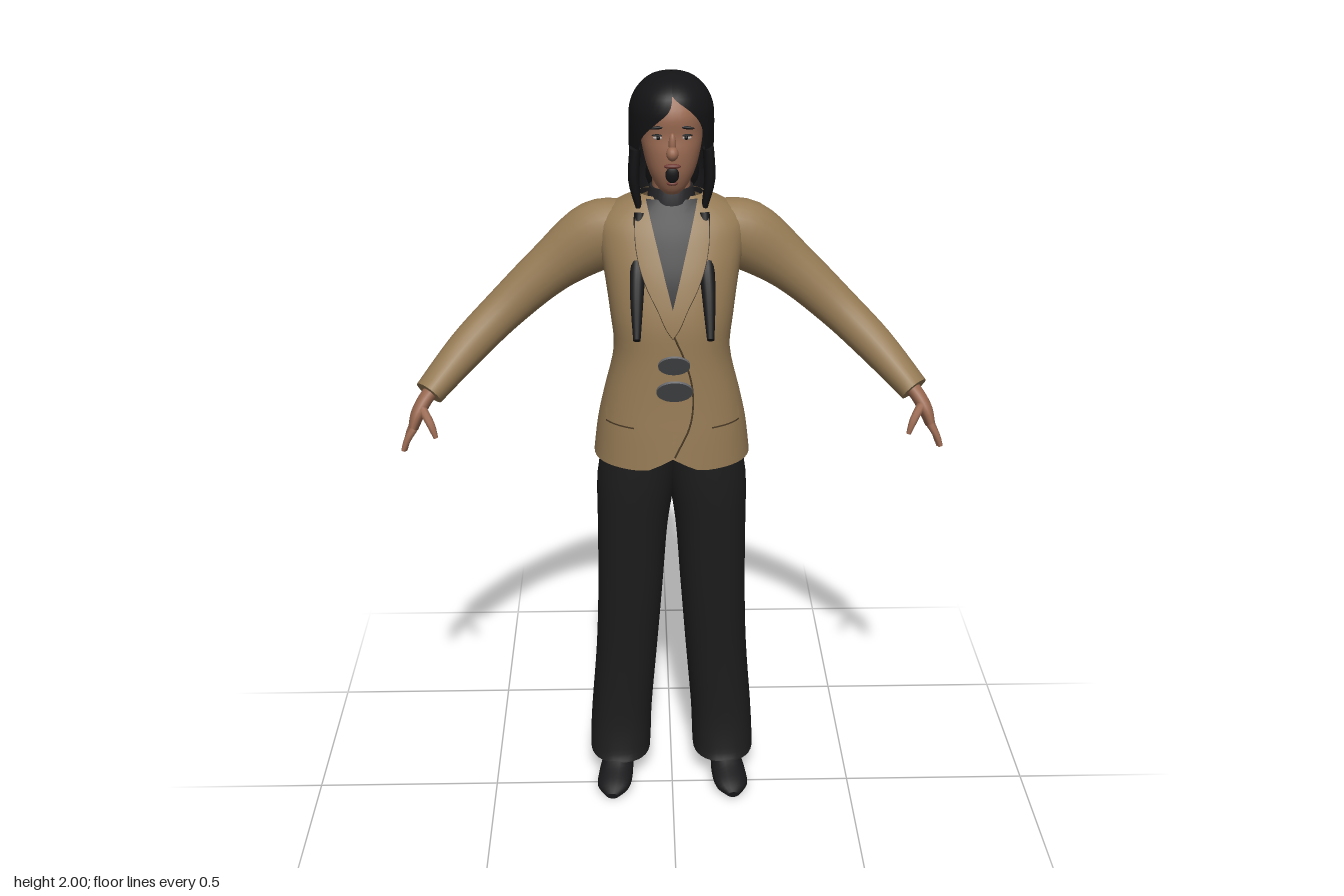
import * as THREE from 'three';

const mat = (name, color, side = THREE.DoubleSide) => {
  const m = new THREE.MeshStandardMaterial({ color, side });
  m.name = name;
  return m;
};

// Catmull-Rom sampling of rows of numbers at parameter t in 0..1
function sample(keys, t) {
  const f = t * (keys.length - 1), i = Math.min(Math.floor(f), keys.length - 2), k = f - i;
  const at = (j) => keys[Math.max(0, Math.min(keys.length - 1, j))];
  return keys[i].map((_, c) => {
    const [a, b, d, e] = [at(i - 1)[c], at(i)[c], at(i + 1)[c], at(i + 2)[c]];
    return b + 0.5 * k * (d - a + k * (2 * a - 5 * b + 4 * d - e + k * (3 * (b - d) + e - a)));
  });
}
const smooth = (keys, per = 4) => {
  const n = (keys.length - 1) * per;
  return Array.from({ length: n + 1 }, (_, i) => sample(keys, i / n));
};

// Skin over rings of points; closed rings may be capped
function loft(rings, closed = true, caps = true) {
  const n = rings[0].length, pos = rings.flat().flatMap((p) => [p.x, p.y, p.z]), idx = [];
  for (let j = 0; j < rings.length - 1; j++)
    for (let i = 0; i < (closed ? n : n - 1); i++) {
      const a = j * n + i, b = j * n + ((i + 1) % n);
      idx.push(a, b, b + n, a, b + n, a + n);
    }
  if (closed && caps)
    for (const j of [0, rings.length - 1]) {
      const c = rings[j].reduce((s, p) => s.add(p), new THREE.Vector3()).divideScalar(n);
      const base = pos.length / 3;
      pos.push(c.x, c.y, c.z);
      for (const p of rings[j]) pos.push(p.x, p.y, p.z);
      for (let i = 0; i < n; i++) {
        const a = base + 1 + i, b = base + 1 + ((i + 1) % n);
        idx.push(base, j ? a : b, j ? b : a);
      }
    }
  const g = new THREE.BufferGeometry();
  g.setAttribute('position', new THREE.Float32BufferAttribute(pos, 3));
  g.setIndex(idx);
  g.computeVertexNormals();
  return g;
}

// Horizontal rings from rows of [y, half width, front z, back z, centre x]
const EXP = 2.3;
const power = (v) => Math.sign(v) * Math.abs(v) ** (2 / EXP);
const bodyRings = (rows, n = 32) => rows.map(([y, rx, zf, zb, cx = 0]) =>
  Array.from({ length: n }, (_, i) => {
    const a = (i / n) * Math.PI * 2;
    return new THREE.Vector3(cx + rx * power(Math.sin(a)), y, (zf + zb) / 2 + (zf - zb) / 2 * power(Math.cos(a)));
  }));

// Height of the front surface of such a body
const frontOf = (rows) => (x, y) => {
  let i = rows.findIndex((r) => r[0] > y);
  i = i < 1 ? (i === 0 ? 1 : rows.length - 1) : i;
  const k = Math.max(0, Math.min(1, (y - rows[i - 1][0]) / (rows[i][0] - rows[i - 1][0])));
  const [rx, zf, zb] = [1, 2, 3].map((c) => rows[i - 1][c] + k * (rows[i][c] - rows[i - 1][c]));
  const q = Math.max(0, 1 - Math.abs(x / rx) ** EXP) ** (1 / EXP);
  return (zf + zb) / 2 + (zf - zb) / 2 * q;
};

// Thin patch lying on a front surface; edge(t) gives [y, x from, x to]
const panel = (front, edge, off) => loft(Array.from({ length: 17 }, (_, j) => {
  const [y, x0, x1] = edge(j / 16);
  return Array.from({ length: 9 }, (_, i) => {
    const x = x0 + (x1 - x0) * i / 8;
    return new THREE.Vector3(x, y, front(x, y) + off);
  });
}), false);

// Tapering limb from rows of [x, y, z, radius u, radius w]
function limb(keys, s = 1, ref = new THREE.Vector3(0, 0, 1), per = 4, n = 14) {
  const rows = smooth(keys.map(([x, ...r]) => [x * s, ...r]), per);
  const P = rows.map((r) => new THREE.Vector3(r[0], r[1], r[2]));
  return loft(rows.map((r, i) => {
    const t = P[Math.min(i + 1, P.length - 1)].clone().sub(P[Math.max(i - 1, 0)]).normalize();
    const u = t.clone().cross(ref).normalize(), w = t.clone().cross(u);
    return Array.from({ length: n }, (_, k) => {
      const a = (k / n) * Math.PI * 2;
      return P[i].clone().addScaledVector(u, r[3] * Math.cos(a)).addScaledVector(w, r[4] * Math.sin(a));
    });
  }));
}

export function createModel() {
  const root = new THREE.Group();
  const skin = mat('skin', 0x9a6a52), cloth = mat('tan jacket', 0x967b55), seam = mat('seam brown', 0x4a3a26);
  const trouser = mat('charcoal trousers', 0x1d1d1e), hairMat = mat('black hair', 0x141416);
  const shirtMat = mat('dark shirt', 0x232326), shoeMat = mat('shoe black', 0x18181a);
  const metal = mat('grey discs', 0x66676b), white = mat('eye white', 0xb9aea6), lip = mat('lip', 0x6f3a33);
  const add = (name, geo, m) => {
    const mesh = new THREE.Mesh(geo, m);
    mesh.name = name;
    root.add(mesh);
    return mesh;
  };
  const blob = (name, m, x, y, z, rx, ry, rz) => {
    const mesh = add(name, new THREE.SphereGeometry(1, 18, 12), m);
    mesh.position.set(x, y, z);
    mesh.scale.set(rx, ry, rz);
    return mesh;
  };

  // Jacket body, with the hem cut away at the front
  const torso = smooth([
    [1.01, .205, .087, -.245], [1.1, .194, .083, -.232], [1.18, .177, .078, -.21], [1.3, .15, .073, -.193],
    [1.4, .158, .068, -.2], [1.5, .172, .042, -.218], [1.58, .185, .008, -.225], [1.63, .182, -.018, -.22],
    [1.67, .14, -.045, -.205], [1.695, .08, -.06, -.185]]);
  const rings = bodyRings(torso, 48);
  rings.slice(0, 4).forEach((ring, j) => ring.forEach((p) => {
    if (p.z > 0) p.y += 0.035 * (1 - j / 4) * Math.exp(-((p.x / 0.04) ** 2));
  }));
  add('jacketBody', loft(rings, true, false), cloth);
  const chest = frontOf(torso);

  // Shirt in the neckline, and collar
  const vee = (y) => 0.062 * Math.max(0, (y - 1.44) / 0.24);
  add('shirtFront', panel(chest, (t) => { const y = 1.44 + .25 * t; return [y, -vee(y), vee(y)]; }, .004), shirtMat);
  add('shirtCollar', loft(bodyRings([[1.62, .07, -.04, -.17], [1.68, .062, -.045, -.17], [1.715, .055, -.055, -.165]])), shirtMat);
  add('neck', loft(bodyRings([[1.68, .048, -.06, -.16], [1.78, .048, -.05, -.16]])), skin);

  // Front closing edge
  const edge = new THREE.CatmullRomCurve3([[0, 1.38], [.03, 1.31], [.05, 1.23], [.045, 1.14], [.005, 1.05]]
    .map(([x, y]) => new THREE.Vector3(x, y, chest(x, y) + .001)));
  add('frontEdge', new THREE.TubeGeometry(edge, 24, .0025, 6), seam);

  for (const s of [1, -1]) {
    const side = s > 0 ? 'left' : 'right';
    // Lapel with a seam along its outer edge, and pocket flap
    const lapel = (t) => {
      const y = 1.37 + .31 * t;
      return [y, s * vee(y), s * (vee(y) + .055 * Math.sin(Math.PI * Math.min(.88, t * .88)) ** .8)];
    };
    add(side + 'Lapel', panel(chest, lapel, .008), cloth);
    const rim = Array.from({ length: 15 }, (_, i) => {
      const [y, , x] = lapel(i / 15);
      return new THREE.Vector3(x, y, chest(x, y) + .006);
    });
    add(side + 'LapelSeam', new THREE.TubeGeometry(new THREE.CatmullRomCurve3(rim), 28, .0018, 5), seam);
    add(side + 'PocketFlap', panel(chest, (t) => [1.13 + .03 * t, s * .1, s * .172], .009), cloth);
    add(side + 'PocketSeam', panel(chest, (t) => [1.126 + .004 * t, s * .1, s * .172], .01), seam);

    // Sleeve
    add(side + 'Sleeve', limb([[.1, 1.6, -.125, .07, .07], [.19, 1.575, -.14, .09, .075], [.31, 1.49, -.142, .068, .06],
      [.43, 1.385, -.125, .056, .053], [.53, 1.295, -.075, .05, .052], [.625, 1.2, -.002, .038, .056]], s, undefined, 5, 20), cloth);

    // Hand: palm, four fingers, thumb
    add(side + 'Palm', limb([[.61, 1.215, -.01, .02, .028], [.635, 1.185, .005, .019, .03], [.655, 1.15, .018, .018, .042],
      [.667, 1.115, .028, .013, .04]], s), skin);
    for (let f = 0; f < 4; f++) {
      const z = -.002 + f * .02, drop = [.045, .06, .06, .05][f];
      add(side + 'Finger', limb([[.662, 1.125, z, .01, .01], [.678, 1.1, z + (f - 1) * .004, .009, .009],
        [.69, 1.12 - drop, z + (f - 1.4) * .008, .006, .006]], s, undefined, 3, 8), skin);
    }
    add(side + 'Thumb', limb([[.64, 1.17, .035, .012, .014], [.618, 1.14, .062, .011, .011], [.605, 1.105, .072, .006, .006]],
      s, undefined, 3, 8), skin);

    // Trouser leg from rows of [y, inner x, outer x, front z, back z]
    const leg = [[.065, .062, .232, .002, -.217], [.1, .06, .232, -.01, -.217], [.2, .056, .226, -.02, -.21],
      [.4, .04, .21, -.008, -.195], [.6, .025, .202, .012, -.178], [.8, .01, .2, .03, -.184], [.94, -.012, .198, .042, -.205],
      [1.06, -.02, .175, .045, -.2]].map(([y, a, b, zf, zb]) => [y, (b - a) / 2, zf, zb, s * (a + b) / 2]);
    add(side + 'TrouserLeg', loft(bodyRings(smooth(leg))), trouser);

    // Shoe and heel
    add(side + 'Shoe', limb([[.145, .075, -.185, .024, .022], [.147, .075, -.13, .036, .032], [.153, .055, -.06, .042, .042],
      [.16, .033, 0, .048, .032], [.167, .021, .055, .044, .021], [.17, .013, .09, .016, .01]],
    s, new THREE.Vector3(0, 1, 0)), shoeMat);
    const heel = add(side + 'Heel', new THREE.CylinderGeometry(.022, .01, .07, 12), shoeMat);
    heel.position.set(s * .146, .035, -.168);

    // Long strand standing off the chest
    add(side + 'Strand', limb([[.08, 1.66, -.045, .014, .012], [.085, 1.55, -.005, .019, .014], [.089, 1.48, .062, .017, .011],
      [.09, 1.4, .168, .009, .006]], s), hairMat);
    // Lock beside the neck
    add(side + 'Lock', limb([[.09, 1.82, -.06, .014, .03], [.094, 1.74, -.06, .014, .028], [.082, 1.67, -.06, .008, .012]], s), hairMat);
  }

  // Face
  const head = smooth([[1.712, .02, -.025, -.08], [1.73, .04, -.012, -.12], [1.77, .06, .002, -.16], [1.82, .073, .006, -.18],
    [1.86, .078, .002, -.19], [1.91, .078, .004, -.19], [1.96, .06, -.02, -.17]]);
  add('head', loft(bodyRings(head)), skin);
  const face = frontOf(head);
  blob('nose', skin, 0, 1.822, .01, .015, .018, .02);
  blob('noseBridge', skin, 0, 1.845, .006, .009, .026, .011);
  blob('upperLip', lip, 0, 1.79, .006, .021, .006, .008);
  blob('openMouth', hairMat, 0, 1.768, .001, .017, .021, .007);
  blob('lowerLip', lip, 0, 1.745, -.003, .014, .005, .008);
  for (const s of [1, -1]) {
    const x = s * .034;
    blob('eye', white, x, 1.858, face(x, 1.858), .013, .005, .004);
    blob('iris', hairMat, x, 1.858, face(x, 1.858) + .002, .005, .005, .004);
    blob('upperLid', hairMat, x, 1.864, face(x, 1.864), .016, .003, .004);
    blob('eyebrow', hairMat, x, 1.883, face(x, 1.883), .02, .004, .004).rotation.z = -s * .12;
  }

  // Hair shell open over the face: [y, half width, front z, back z, opening on left, opening on right]
  const shell = smooth([[1.68, .08, -.04, -.2, 1.25, 1.25], [1.73, .1, -.03, -.222, 1.05, 1.05], [1.79, .105, -.005, -.228, .92, .92],
    [1.85, .106, .012, -.235, .82, .78], [1.89, .106, .018, -.237, .7, .42], [1.925, .102, .018, -.23, .42, .08],
    [1.96, .085, .004, -.21, 0, 0], [1.988, .052, -.04, -.17, 0, 0], [2, .004, -.1, -.11, 0, 0]]);
  add('hair', loft(shell.map(([y, rx, zf, zb, l, r]) => Array.from({ length: 41 }, (_, i) => {
    const a = Math.max(0, l) + (Math.PI * 2 - Math.max(0, l) - Math.max(0, r)) * i / 40;
    return new THREE.Vector3(rx * Math.sin(a), y, (zf + zb) / 2 + (zf - zb) / 2 * Math.cos(a));
  })), false), hairMat);

  // Gathered tail at the nape
  add('hairTail', limb([[0, 1.8, -.17, .05, .05], [.005, 1.72, -.195, .07, .04], [.012, 1.66, -.228, .055, .035],
    [.02, 1.61, -.252, .036, .024], [.025, 1.575, -.268, .01, .008]]), hairMat);

  // Two floating tilted discs
  for (const [y, z, r] of [[1.345, .198, .039], [1.3, .255, .044]]) {
    const disc = add('disc', new THREE.CylinderGeometry(r, r, .006, 28), metal);
    disc.position.set(0, y, z);
    disc.rotation.x = -.92;
  }
  return root;
}
